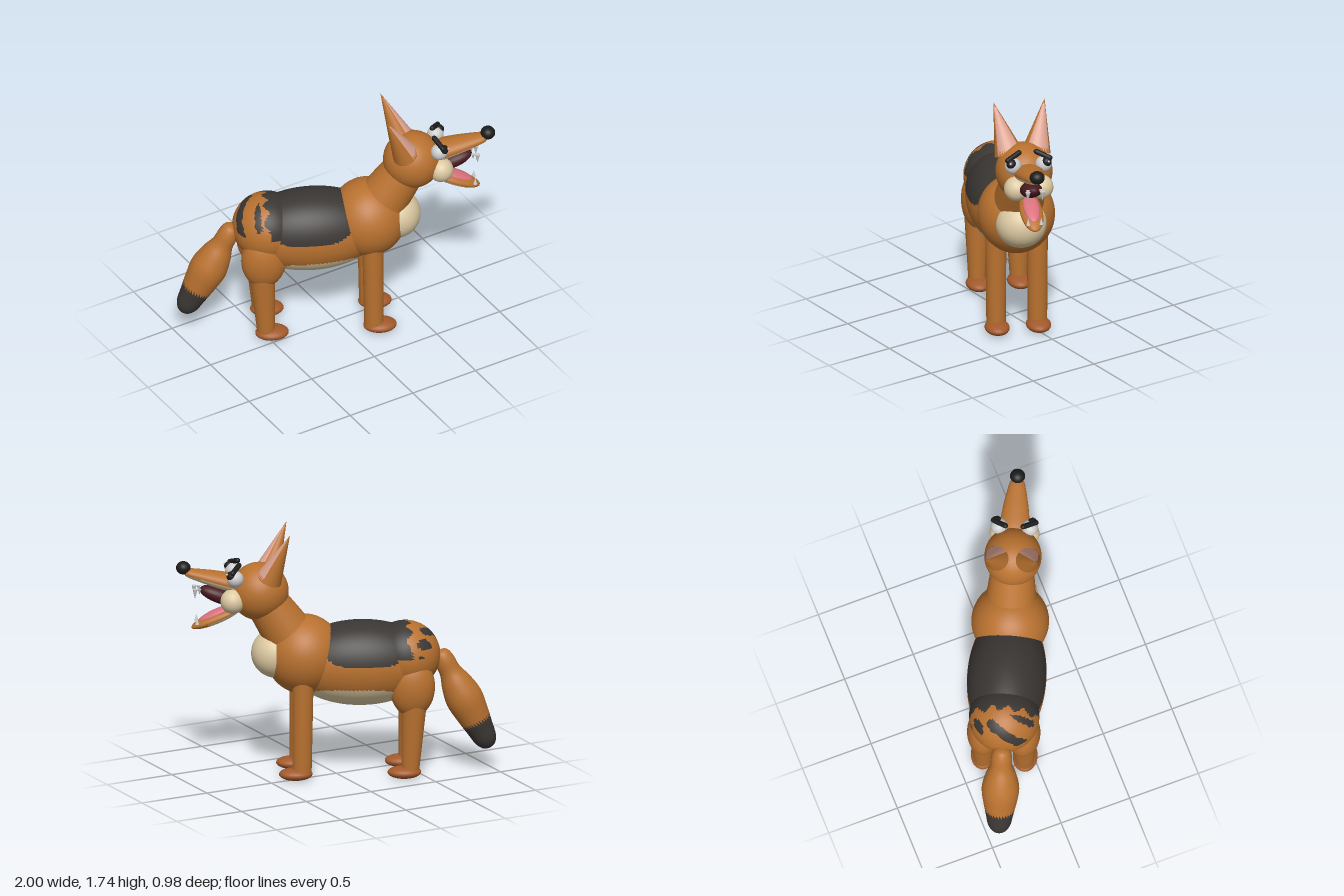
import * as THREE from 'three';

const FUR = 0xb8712f, DARK = 0x3a3633, CREAM = 0xdcc9a2, BLACK = 0x1c1c1c, PAW = 0xa2592a;
const PINK = 0xdca391, TONGUE = 0xd9707c, MAROON = 0x4a1a20, WHITE = 0xe9e9e6;
const mats = {};
const mat = (c) => (mats[c] ??= new THREE.MeshStandardMaterial({ color: c }));
const UP = new THREE.Vector3(0, 1, 0);

export function createModel() {
  // The animal is built facing local +x, then turned towards the front.
  const model = new THREE.Group();
  model.name = 'wildDog';

  function add(name, geo, color, parent = model) {
    const mesh = new THREE.Mesh(geo, mat(color));
    mesh.name = name;
    parent.add(mesh);
    return mesh;
  }
  const ellipsoid = (c, r, seg = 32) =>
    new THREE.SphereGeometry(1, seg, Math.round(seg * 0.7)).scale(r[0], r[1], r[2]).translate(...c);
  const ball = (name, c, r, color, seg) => add(name, ellipsoid(c, r, seg), color);

  // Splits a surface into two coloured meshes by a rule on triangle centres
  function twoTone(name, geo, color, markName, markColor, rule) {
    const flat = geo.toNonIndexed();
    const p = flat.attributes.position, n = flat.attributes.normal;
    const sets = [{ p: [], n: [] }, { p: [], n: [] }];
    for (let i = 0; i < p.count; i += 3) {
      const mid = (k) => (p.getComponent(i, k) + p.getComponent(i + 1, k) + p.getComponent(i + 2, k)) / 3;
      const s = sets[rule(mid(0), mid(1), mid(2)) ? 1 : 0];
      for (let j = i; j < i + 3; j++) {
        s.p.push(p.getX(j), p.getY(j), p.getZ(j));
        s.n.push(n.getX(j), n.getY(j), n.getZ(j));
      }
    }
    const group = new THREE.Group();
    group.name = name + 'Group';
    sets.forEach((s, k) => {
      const g = new THREE.BufferGeometry();
      g.setAttribute('position', new THREE.Float32BufferAttribute(s.p, 3));
      g.setAttribute('normal', new THREE.Float32BufferAttribute(s.n, 3));
      add(k ? markName : name, g, k ? markColor : color, group);
    });
    model.add(group);
    return group;
  }

  // Places a y-axis shape so that it starts at a and points to b
  function aim(obj, a, b) {
    const from = new THREE.Vector3(...a), dir = new THREE.Vector3(...b).sub(from).normalize();
    obj.position.copy(from);
    obj.quaternion.setFromUnitVectors(UP, dir);
    return obj;
  }
  const dist = (a, b) => new THREE.Vector3(...a).distanceTo(new THREE.Vector3(...b));
  function limb(name, a, b, ra, rb, color = FUR) {
    const h = dist(a, b);
    return aim(add(name, new THREE.CylinderGeometry(rb, ra, h, 28).translate(0, h / 2, 0), color), a, b);
  }
  const lathe = (pts, seg = 32) => {
    const curve = new THREE.SplineCurve(pts.map(([r, y]) => new THREE.Vector2(r, y)));
    const smooth = curve.getPoints(36).map((v) => new THREE.Vector2(Math.max(0, v.x), v.y));
    return new THREE.LatheGeometry(smooth, seg);
  };

  // Torso with the dark saddle, then the cream belly
  twoTone('torso', ellipsoid([-0.17, 0.795, 0], [0.5, 0.293, 0.27], 96), FUR, 'saddle', DARK,
    (x, y) => ((x + 0.2) / 0.31) ** 4 + ((1.09 - y) / 0.26) ** 4 < 1);
  twoTone('underside', ellipsoid([-0.17, 0.794, 0], [0.503, 0.295, 0.272], 96).scale(1, 1, 1), FUR, 'belly', CREAM,
    (x, y) => ((x + 0.11) / 0.31) ** 4 + ((0.5 - y) / 0.16) ** 4 < 1)
    .children[0].removeFromParent();

  // Rump with broken dark patches
  twoTone('rump', ellipsoid([-0.47, 0.84, 0], [0.24, 0.237, 0.24], 56), FUR, 'rumpPatches', DARK,
    (x, y, z) => y > 0.87 && (x > -0.49 + 0.02 * Math.sin(z * 60)
      || (x < -0.53 && Math.sin(x * 47 + z * 13) + Math.sin(z * 31 + y * 40) > 0.35)));

  // Chest, breast and neck
  ball('chest', [0.22, 0.86, 0], [0.265, 0.275, 0.265], FUR, 40);
  ball('breast', [0.41, 0.87, 0], [0.17, 0.17, 0.175], CREAM, 36);
  limb('neck', [0.27, 0.92, 0], [0.5, 1.27, 0], 0.185, 0.14);

  // Legs and paws on both sides
  for (const s of [-1, 1]) {
    limb('frontLeg', [0.243, 0.05, 0.143 * s], [0.235, 0.78, 0.143 * s], 0.066, 0.073);
    ball('frontPaw', [0.285, 0.05, 0.143 * s], [0.115, 0.043, 0.085], PAW, 24);
    ball('thigh', [-0.51, 0.65, 0.135 * s], [0.155, 0.21, 0.115], FUR);
    limb('hindLeg', [-0.495, 0.05, 0.143 * s], [-0.525, 0.6, 0.14 * s], 0.06, 0.09);
    ball('hindPaw', [-0.455, 0.05, 0.143 * s], [0.115, 0.043, 0.085], PAW, 24);
  }

  // Bushy tail with a dark tip
  aim(twoTone('tail', lathe([[0, 0.78], [0.045, 0.765], [0.078, 0.71], [0.094, 0.62], [0.115, 0.5], [0.128, 0.38],
    [0.105, 0.26], [0.075, 0.17], [0.07, 0.08], [0.05, 0.02], [0, 0]].reverse()), FUR, 'tailTip', DARK,
  (x, y) => y > 0.565), [-0.7, 0.87, 0], [-1.05, 0.17, 0]);

  // Head, cheeks and open mouth
  ball('head', [0.524, 1.31, 0], [0.2, 0.2, 0.195], FUR, 40);
  for (const s of [-1, 1]) ball('cheek', [0.71, 1.265, 0.085 * s], [0.085, 0.085, 0.085], CREAM, 28);
  const mouth = ball('mouthInside', [0, 0, 0], [0.15, 0.055, 0.075], MAROON, 28);
  mouth.position.set(0.79, 1.285, 0);
  mouth.rotation.z = 0.35;

  // Upper snout with a cream lip, and the nose
  const snout = twoTone('snout', lathe([[0, 0], [0.07, 0.01], [0.1, 0.09], [0.092, 0.2], [0.07, 0.32], [0.045, 0.41],
    [0, 0.435]]), FUR, 'upperLip', CREAM, (x) => x > 0.018);
  aim(snout, [0.62, 1.352, 0], [1.02, 1.452, 0]);
  snout.scale.x = 0.6;
  ball('nose', [1.042, 1.485, 0], [0.05, 0.045, 0.052], BLACK, 24);

  // Lower jaw with a cream chin, and the tongue
  const jaw = twoTone('lowerJaw', ellipsoid([0, 0, 0], [0.185, 0.04, 0.078], 40), FUR, 'chin', CREAM,
    (x, y) => y < -0.01 && x < 0.07);
  jaw.position.set(0.815, 1.13, 0);
  jaw.rotation.z = -0.39;
  const tongue = ball('tongue', [0, 0, 0], [0.135, 0.026, 0.056], TONGUE, 28);
  tongue.position.set(0.815, 1.162, 0);
  tongue.rotation.z = -0.42;

  for (const s of [-1, 1]) {
    // Teeth
    for (const [x, y, tip, z, r] of [[0.965, 1.345, 1.275, 0.05, 0.017], [0.935, 1.345, 1.305, 0.045, 0.013],
      [0.95, 1.095, 1.145, 0.045, 0.014]]) {
      const tooth = limb('tooth', [x, y, z * s], [x, tip, z * s], r, 0, WHITE);
      tooth.userData.side = s;
    }

    // Eyes and brows
    ball('eye', [0.695, 1.428, 0.105 * s], [0.057, 0.057, 0.057], WHITE, 24);
    ball('pupil', [0.722, 1.455, 0.122 * s], [0.034, 0.034, 0.034], BLACK, 20);
    ball('eyeGlint', [0.752, 1.468, 0.132 * s], [0.008, 0.008, 0.008], WHITE, 10);
    const inner = [0.668, 1.512, 0.06 * s], outer = [0.715, 1.48, 0.145 * s], len = dist(inner, outer);
    aim(add('brow', new THREE.CapsuleGeometry(0.018, len, 6, 14).translate(0, len / 2, 0), BLACK), inner, outer);

    // Pointed ears with a pink front
    const a = [0.465, 1.42, 0.095 * s], b = [0.327, 1.75, 0.177 * s], h = dist(a, b);
    const cone = new THREE.ConeGeometry(0.1, h, 40, 10).translate(0, h / 2, 0);
    const ear = twoTone('ear', cone, FUR, 'innerEar', PINK,
      (x, y, z) => x > 0 && Math.abs(z) < x * 1.5 && y > 0.02 && y < h * 0.93);
    aim(ear, a, b);
    ear.scale.x = 0.9;
  }

  model.rotation.y = -0.428;
  const root = new THREE.Group();
  root.name = 'model';
  root.add(model);
  return root;
}
